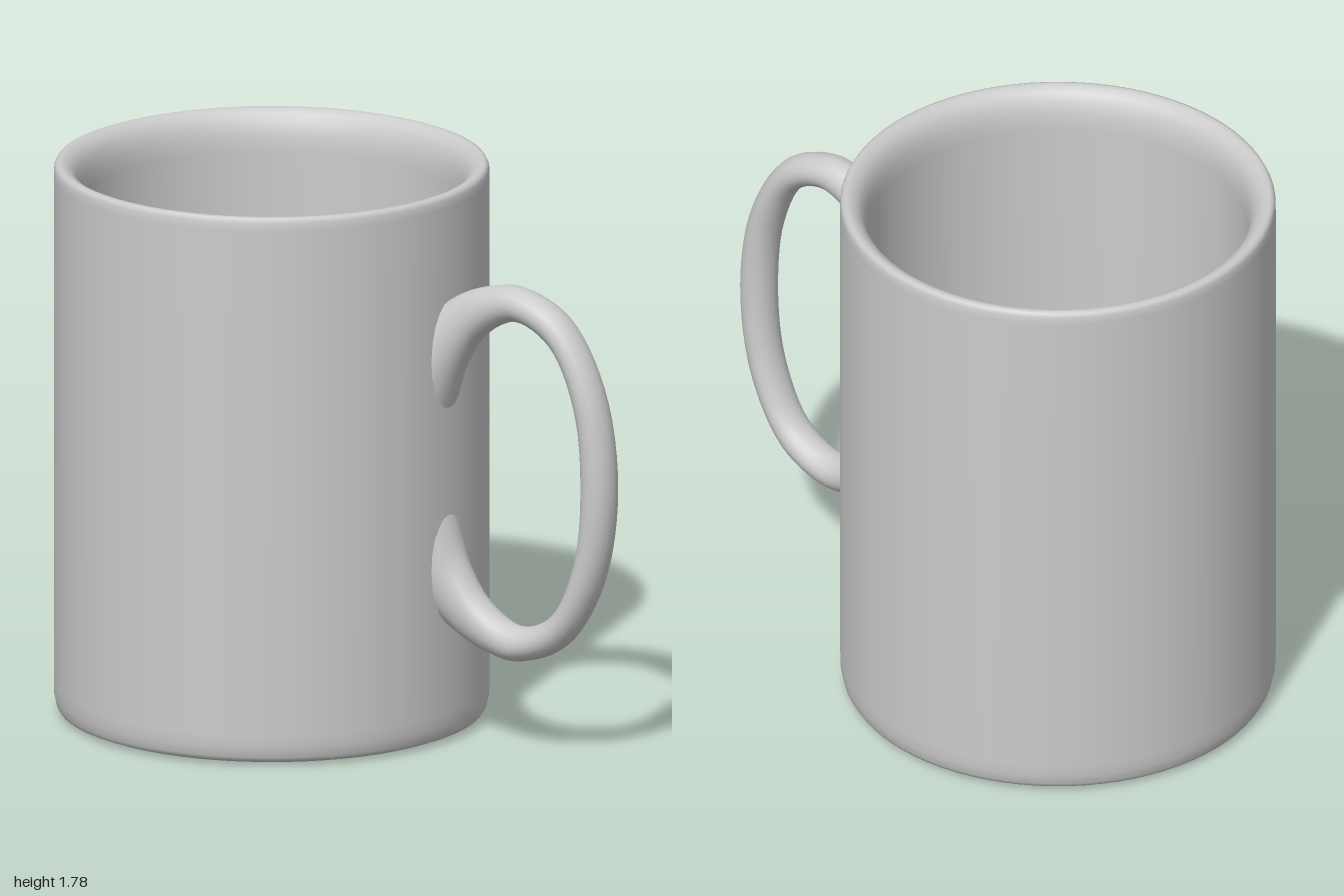
import * as THREE from 'three';

const MUG_X = -0.315;
const HANDLE_MID_Y = 0.915;

// Closed wall profile: underside, outer wall, rounded lip, inner wall, floor
function createBody(material) {
  const profile = [
    [0, 0], [0.4, 0], [0.6, 0.002], [0.645, 0.006], [0.667, 0.015], [0.675, 0.028],
    [0.682, 0.06], [0.683, 0.1], [0.683, 0.9], [0.683, 1.74], [0.682, 1.765],
    [0.676, 1.777], [0.665, 1.781], [0.65, 1.778], [0.63, 1.765], [0.612, 1.74],
    [0.602, 1.7], [0.598, 1.65], [0.597, 0.9], [0.597, 0.18], [0.59, 0.14],
    [0.57, 0.115], [0.53, 0.102], [0.48, 0.1], [0, 0.1],
  ].map(([r, y]) => new THREE.Vector2(r, y));
  const body = new THREE.Mesh(new THREE.LatheGeometry(profile, 80), material);
  body.name = 'mugBody';
  body.position.x = MUG_X;
  return body;
}

// Upper half of an edge, mirrored about the middle height into a full curve
function mirroredCurve(upper) {
  const points = upper.map(([x, y, z = 0]) => new THREE.Vector3(x, y, z));
  const lower = points.slice(0, -1).reverse()
    .map((p) => new THREE.Vector3(p.x, 2 * HANDLE_MID_Y - p.y, p.z));
  return new THREE.CatmullRomCurve3([...points, ...lower]);
}

// Oval sections swept between an inner and an outer edge, flaring at the wall
function createHandle(material) {
  const inner = mirroredCurve([
    [0.345, 1.02], [0.372, 1.1], [0.42, 1.225], [0.505, 1.345],
    [0.635, 1.41], [0.77, 1.35], [0.86, 1.165], [0.885, HANDLE_MID_Y],
  ]);
  // The third value is the half width of the section
  const outer = mirroredCurve([
    [0.31, 1.4, 0.11], [0.37, 1.44, 0.085], [0.43, 1.475, 0.068], [0.52, 1.508, 0.063],
    [0.635, 1.522, 0.063], [0.81, 1.45, 0.063], [0.945, 1.24, 0.063], [1, HANDLE_MID_Y, 0.063],
  ]);
  const steps = 84, sides = 20;
  const positions = [], indices = [];
  for (let i = 0; i <= steps; i++) {
    const a = inner.getPoint(i / steps);
    const b = outer.getPoint(i / steps);
    for (let j = 0; j < sides; j++) {
      const angle = (j / sides) * Math.PI * 2;
      const k = (1 + Math.cos(angle)) / 2;
      positions.push(a.x + (b.x - a.x) * k, a.y + (b.y - a.y) * k, b.z * Math.sin(angle));
      if (i === steps) continue;
      const p = i * sides + j;
      const q = i * sides + ((j + 1) % sides);
      indices.push(p, q, p + sides, q, q + sides, p + sides);
    }
  }
  const geometry = new THREE.BufferGeometry();
  geometry.setAttribute('position', new THREE.Float32BufferAttribute(positions, 3));
  geometry.setIndex(indices);
  geometry.computeVertexNormals();
  const handle = new THREE.Mesh(geometry, material);
  handle.name = 'handle';
  return handle;
}

export function createModel() {
  const material = new THREE.MeshStandardMaterial({ color: 0xcccccc });
  const group = new THREE.Group();
  group.name = 'mug';
  group.add(createBody(material), createHandle(material));
  return group;
}
